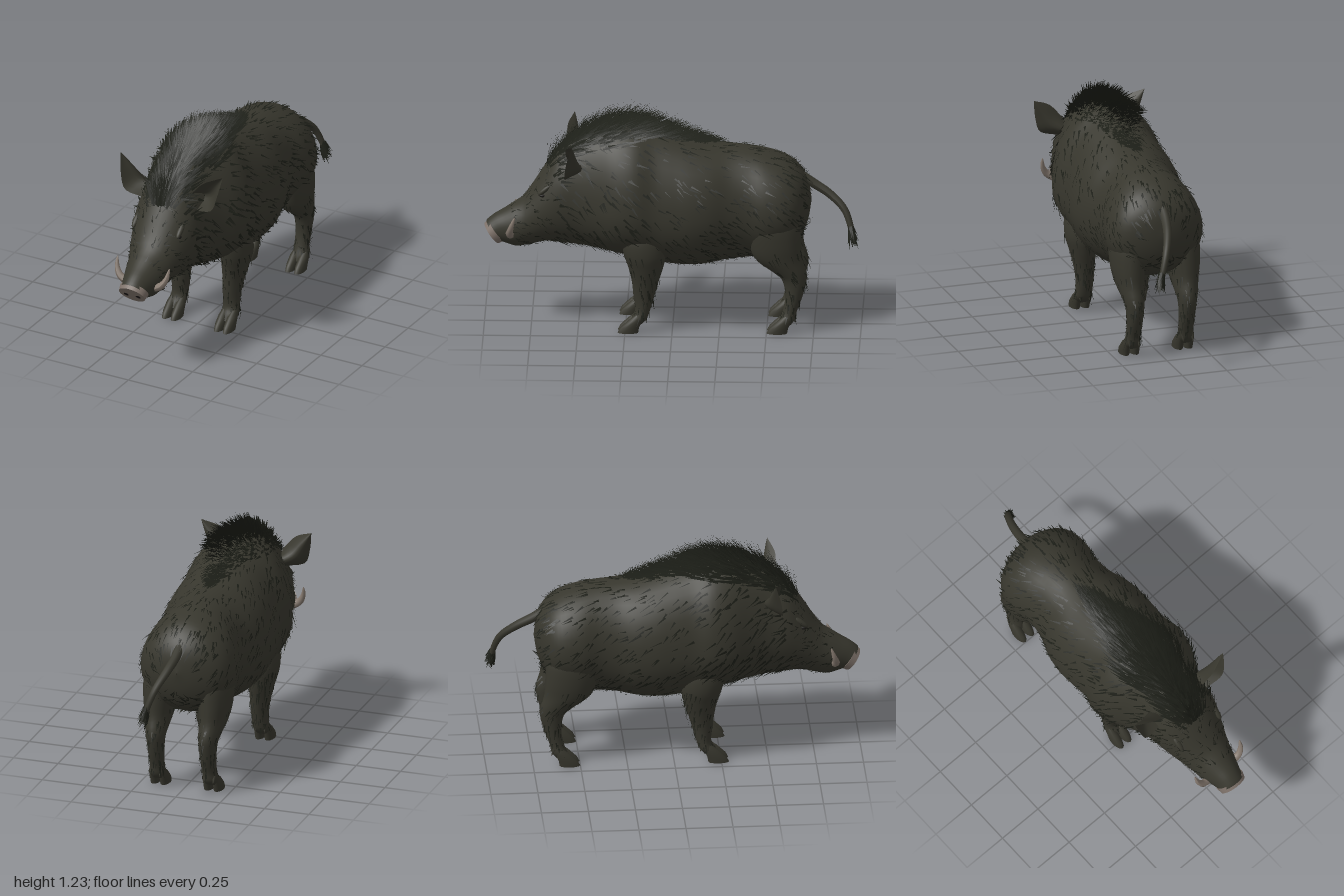
import * as THREE from 'three';

const V = (x, y, z) => new THREE.Vector3(x, y, z);

// small seeded random generator
let seed = 7;
const rnd = (a = 0, b = 1) => {
  seed = (seed * 16807) % 2147483647;
  return a + (b - a) * (seed / 2147483647);
};

// smooth interpolation of rows of five numbers, u from 0 to 1
function rowCurve(rows) {
  const c1 = new THREE.CatmullRomCurve3(rows.map(r => V(r[0], r[1], r[2])), false, 'catmullrom', 0.5);
  const c2 = new THREE.CatmullRomCurve3(rows.map(r => V(r[3], r[4], 0)), false, 'catmullrom', 0.5);
  return u => {
    const p = c1.getPoint(u), q = c2.getPoint(u);
    return [p.x, p.y, p.z, q.x, q.y];
  };
}

// body surface; rows: z, top, bottom, height of widest point, half width
const bodyRows = [
  [-0.735, 0.7, 0.69, 0.695, 0.002], [-0.715, 0.81, 0.58, 0.69, 0.105], [-0.67, 0.88, 0.49, 0.68, 0.2],
  [-0.6, 0.935, 0.44, 0.67, 0.25], [-0.5, 0.97, 0.4, 0.67, 0.26], [-0.4, 0.99, 0.38, 0.68, 0.24],
  [-0.3, 1.0, 0.37, 0.67, 0.25], [-0.2, 1.015, 0.35, 0.66, 0.285], [-0.1, 1.04, 0.34, 0.65, 0.3],
  [0, 1.07, 0.345, 0.65, 0.296], [0.1, 1.1, 0.36, 0.66, 0.29], [0.2, 1.125, 0.385, 0.68, 0.305],
  [0.3, 1.125, 0.405, 0.68, 0.288], [0.4, 1.105, 0.425, 0.69, 0.238], [0.5, 1.06, 0.44, 0.7, 0.2],
  [0.6, 0.985, 0.45, 0.7, 0.185], [0.68, 0.87, 0.455, 0.65, 0.16], [0.76, 0.745, 0.435, 0.59, 0.13],
  [0.84, 0.645, 0.425, 0.53, 0.105], [0.9, 0.595, 0.435, 0.51, 0.084], [0.945, 0.56, 0.45, 0.505, 0.073],
];
const bodyAt = rowCurve(bodyRows);
function bodySurf(u, a) {
  const [z, top, bottom, mid, hw] = bodyAt(u);
  const c = Math.cos(a);
  const y = mid + c * (c > 0 ? top - mid : mid - bottom);
  const shear = Math.max(0, Math.min(1, (z - 0.8) / 0.14)); // snout end leans back at the chin
  return V(hw * Math.sin(a), y, z + shear * (y - 0.5) * 0.75);
}

// limb surface running downwards; rows: y, z, x, x radius, z radius
function limbSurf(rows, side) {
  const at = rowCurve(rows);
  return (u, a) => {
    const [y, z, x, rx, rz] = at(u);
    return V(side * x + rx * Math.sin(a), y, z + rz * Math.cos(a));
  };
}

// skin over a surface function, closed around the second parameter
function loft(surf, nu, na) {
  const pos = [], idx = [];
  for (let i = 0; i <= nu; i++)
    for (let j = 0; j < na; j++) pos.push(...surf(i / nu, (j / na) * Math.PI * 2).toArray());
  for (let i = 0; i < nu; i++)
    for (let j = 0; j < na; j++) {
      const k = (j + 1) % na, A = i * na + j, B = i * na + k, C = A + na, D = B + na;
      idx.push(A, C, B, B, C, D);
    }
  const g = new THREE.BufferGeometry();
  g.setAttribute('position', new THREE.Float32BufferAttribute(pos, 3));
  g.setIndex(idx);
  g.computeVertexNormals();
  return g;
}

// tapering tube along a curve
function taper(points, radius, segs, sides) {
  const curve = new THREE.CatmullRomCurve3(points);
  const g = new THREE.TubeGeometry(curve, segs, 1, sides);
  const p = g.attributes.position, v = V();
  for (let i = 0; i < p.count; i++) {
    const t = Math.floor(i / (sides + 1)) / segs, c = curve.getPointAt(t);
    v.fromBufferAttribute(p, i).sub(c).multiplyScalar(radius(t)).add(c);
    p.setXYZ(i, v.x, v.y, v.z);
  }
  g.computeVertexNormals();
  return g;
}

// one pointed hair blade
function blade(out, root, dir, normal, len, w) {
  const d = dir.clone().normalize();
  const s = V().crossVectors(normal, d).normalize().multiplyScalar(w);
  out.push(...root.clone().sub(s).toArray(), ...root.clone().add(s).toArray(),
    ...root.clone().addScaledVector(d, len).toArray());
}

// root point, normal and flow direction on a surface
function frame(surf, u, a) {
  const p = surf(u, a), e = 0.004;
  const du = surf(u + e, a).sub(surf(u - e, a)).normalize();
  const da = surf(u, a + e).sub(surf(u, a - e)).normalize();
  return { p, du, n: V().crossVectors(du, da).normalize() };
}

function bladeGeometry(pos) {
  const g = new THREE.BufferGeometry();
  g.setAttribute('position', new THREE.Float32BufferAttribute(pos, 3));
  g.computeVertexNormals();
  return g;
}

export function createModel() {
  seed = 7;
  const group = new THREE.Group();
  const mat = (name, color, side = THREE.FrontSide) => {
    const m = new THREE.MeshStandardMaterial({ color, side });
    m.name = name;
    return m;
  };
  const hide = mat('dark olive hide', 0x37362d, THREE.DoubleSide);
  const fur = mat('black bristle', 0x1d1f18, THREE.DoubleSide);
  const hoof = mat('hoof sole', 0x22211c);
  const nose = mat('snout skin', 0x7d7169);
  const ivory = mat('tusk', 0x85796f);
  const black = mat('eye and nostril', 0x1b1917);
  const add = (name, geo, m, parent = group) => {
    const mesh = new THREE.Mesh(geo, m);
    mesh.name = name;
    parent.add(mesh);
    return mesh;
  };

  add('body', loft(bodySurf, 80, 36), hide);

  // short tufts lying over the body, swept backwards and down, longer on the neck
  const coat = [];
  for (let i = 0; i < 1500; i++) {
    const u = rnd(0.06, 0.9), a = rnd(0, Math.PI * 2);
    const f = frame(bodySurf, u, a);
    const dir = f.du.clone().multiplyScalar(-1).add(V(0, -rnd(0.2, 1.3), 0));
    dir.addScaledVector(f.n, -dir.dot(f.n)).normalize().addScaledVector(f.n, rnd(0.08, 0.32));
    const size = u > 0.77 ? 0.65 : u > 0.5 ? 1.25 : 1;
    blade(coat, f.p.addScaledVector(f.n, 0.001), dir, f.n, rnd(0.035, 0.075) * size, rnd(0.003, 0.007) * size);
  }
  add('coatTufts', bladeGeometry(coat), fur);

  // tall bristle mane from brow to mid back, thinning at the sides and the rear
  const mane = [];
  for (let i = 0; i < 2600; i++) {
    const t = Math.pow(rnd(), 0.75), u = 0.34 + 0.455 * t;
    const spread = 0.75 * Math.min(1, 0.15 + t * 1.4);
    const off = (rnd(-1, 1) + rnd(-1, 1)) / 2;
    const f = frame(bodySurf, u, spread * off);
    const lift = Math.min(1, 0.2 + t * 1.4) * (1 - 0.5 * Math.abs(off));
    const dir = V(rnd(-0.15, 0.15), 0, -1).addScaledVector(f.n, rnd(0.55, 1.2) * lift);
    blade(mane, f.p, dir, f.n, rnd(0.085, 0.15) * (0.6 + 0.4 * lift), rnd(0.005, 0.009));
  }
  add('mane', bladeGeometry(mane), fur);

  // legs, each with two toes and two dewclaws
  const limbs = {
    front: { footZ: 0.235, rows: [
      [0.66, 0.16, 0.14, 0.06, 0.1], [0.54, 0.155, 0.165, 0.09, 0.12], [0.44, 0.145, 0.178, 0.086, 0.112],
      [0.36, 0.14, 0.172, 0.072, 0.092], [0.28, 0.143, 0.163, 0.059, 0.071], [0.2, 0.15, 0.156, 0.05, 0.056],
      [0.12, 0.157, 0.156, 0.046, 0.04], [0.075, 0.175, 0.158, 0.048, 0.042], [0.045, 0.195, 0.158, 0.038, 0.036]] },
    hind: { footZ: -0.555, rows: [
      [0.76, -0.52, 0.12, 0.07, 0.12], [0.62, -0.53, 0.145, 0.095, 0.145], [0.5, -0.545, 0.153, 0.089, 0.14],
      [0.41, -0.565, 0.153, 0.075, 0.125], [0.34, -0.62, 0.149, 0.06, 0.09], [0.29, -0.648, 0.147, 0.05, 0.065],
      [0.2, -0.645, 0.146, 0.043, 0.046], [0.12, -0.624, 0.147, 0.041, 0.038],
      [0.075, -0.61, 0.15, 0.046, 0.042], [0.045, -0.595, 0.15, 0.038, 0.036]] },
  };
  for (const [name, { footZ, rows }] of Object.entries(limbs))
    for (const side of [1, -1]) {
      const leg = new THREE.Group();
      leg.name = name + (side > 0 ? 'LegLeft' : 'LegRight');
      group.add(leg);
      const surf = limbSurf(rows, side);
      add('leg', loft(surf, 32, 18), hide, leg);
      const hair = [];
      for (let i = 0; i < 130; i++) {
        const f = frame(surf, rnd(0.25, 0.85), rnd(0, Math.PI * 2));
        const dir = f.du.clone().addScaledVector(f.n, rnd(0.05, 0.3)).add(V(0, 0, -0.2));
        blade(hair, f.p, dir, f.n, rnd(0.025, 0.06), rnd(0.002, 0.006));
      }
      add('legTufts', bladeGeometry(hair), fur, leg);
      const cx = rows[rows.length - 1][2];
      for (const k of [-1, 1]) {
        const x = cx + k * 0.027;
        const toe = [[0.1, footZ - 0.062, x, 0.012, 0.02], [0.07, footZ - 0.04, x, 0.024, 0.038],
          [0.03, footZ - 0.01, x, 0.027, 0.05], [0.001, footZ, x, 0.026, 0.055]];
        add('toe', loft(limbSurf(toe, side), 3, 12), hide, leg);
        const sole = add('sole', new THREE.CircleGeometry(1, 12), hoof, leg);
        sole.scale.set(0.026, 0.055, 1);
        sole.rotation.x = Math.PI / 2;
        sole.position.set(side * x, 0, footZ);
        const claw = add('dewclaw', new THREE.ConeGeometry(0.013, 0.045, 8), hide, leg);
        claw.position.set(side * (cx + k * 0.026), 0.08, footZ - 0.09);
        claw.rotation.x = Math.PI + 0.5;
      }
    }

  // pointed ears, cupped between an inner and an outer edge
  const innerEdge = new THREE.CatmullRomCurve3([V(0.14, 0.95, 0.56), V(0.21, 1.025, 0.565), V(0.31, 1.07, 0.53)]);
  const outerEdge = new THREE.CatmullRomCurve3(
    [V(0.17, 0.855, 0.56), V(0.262, 0.88, 0.57), V(0.292, 0.965, 0.56), V(0.31, 1.07, 0.53)]);
  for (const s of [1, -1]) {
    const g = new THREE.PlaneGeometry(1, 1, 8, 10), p = g.attributes.position;
    for (let i = 0; i < p.count; i++) {
      const v = p.getX(i) + 0.5, t = p.getY(i) + 0.5;
      const q = innerEdge.getPoint(t).lerp(outerEdge.getPoint(t), v);
      p.setXYZ(i, s * q.x, q.y, q.z - 0.085 * Math.sin(v * Math.PI) * (1 - t * t));
    }
    g.computeVertexNormals();
    add(s > 0 ? 'earLeft' : 'earRight', g, hide);

    // curved tusk
    add(s > 0 ? 'tuskLeft' : 'tuskRight', taper(
      [V(s * 0.085, 0.51, 0.86), V(s * 0.122, 0.53, 0.865), V(s * 0.148, 0.57, 0.855), V(s * 0.158, 0.63, 0.835)],
      t => 0.023 * Math.pow(1 - t, 0.6) + 0.0005, 14, 8), ivory);

    // small eye under a low brow
    const eye = add(s > 0 ? 'eyeLeft' : 'eyeRight', new THREE.SphereGeometry(0.012, 12, 8), black);
    eye.position.copy(bodySurf(0.805, s * 1.08));
    eye.scale.set(0.6, 0.7, 1.4);
    const brow = add(s > 0 ? 'browLeft' : 'browRight', new THREE.SphereGeometry(1, 14, 10), hide);
    brow.scale.set(0.016, 0.014, 0.05);
    brow.position.copy(bodySurf(0.797, s * 0.98));
    brow.rotation.x = 0.7;
  }

  // snout disc with nostrils, tilted towards the ground
  const snout = new THREE.Group();
  snout.name = 'snout';
  snout.position.set(0, 0.5, 0.948);
  snout.rotation.x = 0.64;
  group.add(snout);
  const disc = add('snoutDisc', new THREE.CylinderGeometry(0.076, 0.083, 0.034, 28), nose, snout);
  disc.rotation.x = Math.PI / 2;
  disc.scale.z = 0.86;
  for (const s of [1, -1]) {
    const hole = add('nostril', new THREE.CircleGeometry(0.014, 16), black, snout);
    hole.position.set(s * 0.036, -0.006, 0.018);
  }

  // tail with a bristle tip
  add('tail', taper(
    [V(0, 0.84, -0.66), V(0.005, 0.79, -0.74), V(0.025, 0.735, -0.83), V(0.06, 0.66, -0.91), V(0.09, 0.57, -0.945), V(0.1, 0.53, -0.95)],
    t => 0.028 - 0.013 * t, 24, 10), hide);
  const tuft = [];
  for (let i = 0; i < 110; i++) {
    const a = rnd(0, Math.PI * 2), n = V(Math.cos(a), 0, Math.sin(a));
    const root = V(0.094, rnd(0.52, 0.58), -0.945).addScaledVector(n, 0.013);
    blade(tuft, root, V(0.28, -0.9, -0.25).addScaledVector(n, rnd(0.1, 0.3)), n, rnd(0.04, 0.08), 0.007);
  }
  add('tailTuft', bladeGeometry(tuft), fur);

  return group;
}
